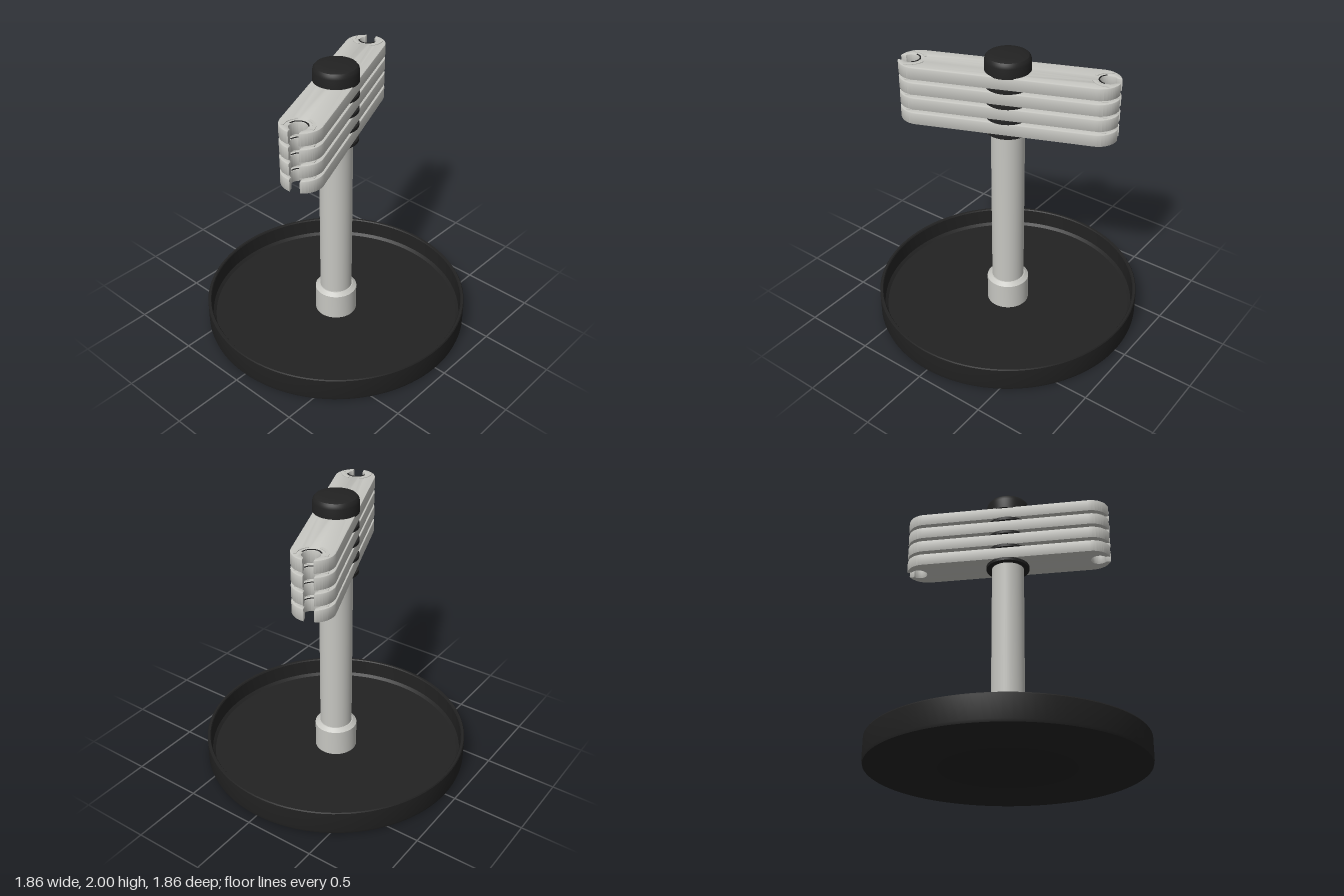
import * as THREE from 'three';
import { toCreasedNormals } from 'three/addons/utils/BufferGeometryUtils.js';

const lightMetal = new THREE.MeshStandardMaterial({ color: 0xc6c6c1 });
lightMetal.name = 'lightMetal';
const black = new THREE.MeshStandardMaterial({ color: 0x222222 });
black.name = 'black';

const { PI } = Math;
const BAR = { end: 0.59, r: 0.138, hole: 0.645, holeR: 0.056, slot: 0.033, h: 0.087, y0: 1.478, pitch: 0.1085 };

function mesh(name, geometry, material) {
  const m = new THREE.Mesh(geometry, material);
  m.name = name;
  return m;
}

function lathe(name, profile, material, segments = 64) {
  const pts = profile.map(([r, y]) => new THREE.Vector2(r, y));
  return mesh(name, toCreasedNormals(new THREE.LatheGeometry(pts, segments), 0.5), material);
}

// Extrudes a plan shape upwards from y = 0
function slab(shape, height, bevel = 0) {
  const g = new THREE.ExtrudeGeometry(shape, {
    depth: height - 2 * bevel, curveSegments: 24, bevelEnabled: bevel > 0,
    bevelSize: bevel, bevelThickness: bevel, bevelOffset: -bevel, bevelSegments: 2,
  });
  g.translate(0, 0, bevel).rotateX(-PI / 2);
  return toCreasedNormals(g, 0.6);
}

// Rounded bar with a keyhole slot in each end
function barShape() {
  const { end, r, hole, holeR, slot } = BAR;
  const a = Math.asin(slot / r), b = Math.asin(slot / holeR);
  const s = new THREE.Shape();
  s.moveTo(-end, -r);
  for (const [side, turn] of [[1, 0], [-1, PI]]) {
    s.absarc(side * end, 0, r, turn - PI / 2, turn - a, false);
    s.absarc(side * hole, 0, holeR, turn - b, turn + b, true);
    s.absarc(side * end, 0, r, turn + a, turn + PI / 2, false);
  }
  return s;
}

// Curved strip around the keyhole centre
function arcShape(inner, outer, from, to) {
  const s = new THREE.Shape();
  s.absarc(BAR.hole, 0, outer, from, to, false);
  s.absarc(BAR.hole, 0, inner, to, from, true);
  return s;
}

export function createModel() {
  const model = new THREE.Group();
  model.name = 'barStand';

  // Shallow round tray
  model.add(lathe('base', [
    [0, 0], [0.91, 0], [0.925, 0.008], [0.93, 0.025], [0.93, 0.175], [0.925, 0.183], [0.91, 0.183],
    [0.905, 0.175], [0.9, 0.06], [0.88, 0.042], [0, 0.042],
  ], black, 96));

  // Post and its foot collar
  model.add(lathe('post', [[0, 0.04], [0.113, 0.04], [0.113, 1.465], [0, 1.465]], lightMetal));
  model.add(lathe('collar', [[0.148, 0.04], [0.148, 0.232], [0.12, 0.255], [0.11, 0.255]], lightMetal));

  // Stack of slotted bars with washers below each
  const stack = new THREE.Group();
  stack.name = 'barStack';
  stack.rotation.y = PI / 8;
  const barGeo = slab(barShape(), BAR.h, 0.007);
  const ridges = [[1.4, 2.75], [-2.75, -1.4]].map(([f, t]) => slab(arcShape(0.085, 0.105, f, t), 0.004));
  const liningGeo = slab(arcShape(0.057, 0.066, 1.9, 2 * PI - 1.9), 0.002);
  const washerGeo = new THREE.CylinderGeometry(0.152, 0.152, BAR.pitch - BAR.h, 48);
  for (let i = 0; i < 4; i++) {
    const bar = new THREE.Group();
    bar.name = 'bar' + (i + 1);
    bar.position.y = BAR.y0 + i * BAR.pitch;
    bar.add(mesh('barBody', barGeo, lightMetal));
    const washer = mesh('washer', washerGeo, black);
    washer.position.y = -(BAR.pitch - BAR.h) / 2;
    bar.add(washer);
    // Ridges and dark edging around the slots
    for (const turn of [0, PI]) {
      const trim = new THREE.Group();
      trim.name = 'slotTrim';
      trim.rotation.y = turn;
      trim.position.y = BAR.h;
      ridges.forEach((g) => trim.add(mesh('slotRidge', g, lightMetal)));
      trim.add(mesh('slotEdging', liningGeo, black));
      bar.add(trim);
    }
    stack.add(bar);
  }
  model.add(stack);

  // Rounded top knob
  model.add(lathe('knob', [
    [0, 1.885], [0.152, 1.885], [0.152, 1.955], [0.147, 1.975], [0.136, 1.988], [0.115, 1.996], [0.08, 2], [0, 2],
  ], black));

  return model;
}
